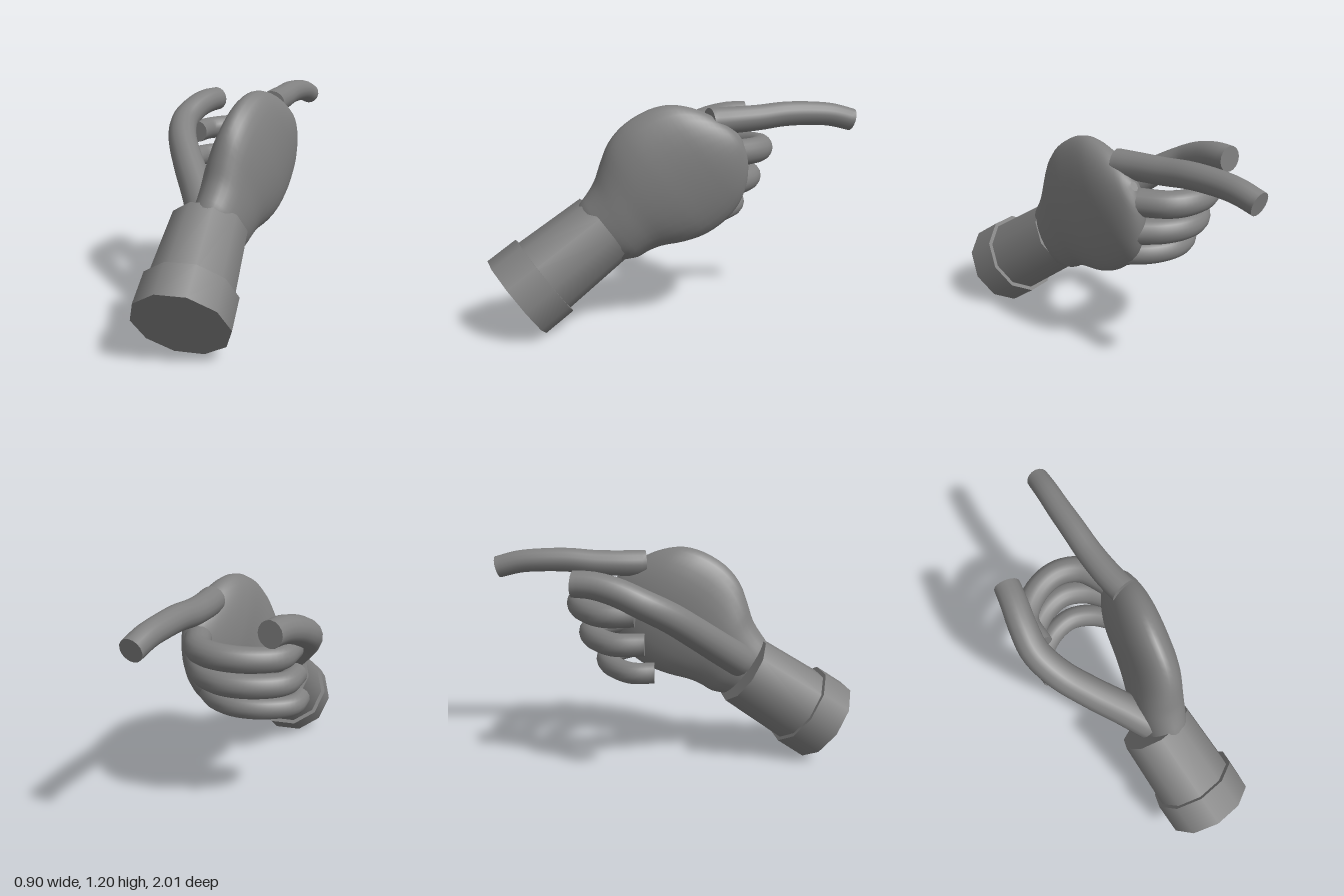
import * as THREE from 'three';

const V = (x, y, z) => new THREE.Vector3(x, y, z);

// Skin a list of rings (each turning right-handed about the direction of travel), with flat caps
function loft(rings) {
  const n = rings[0].length, pos = [], idx = [];
  rings.forEach(r => r.forEach(p => pos.push(p.x, p.y, p.z)));
  for (let i = 0; i < rings.length - 1; i++) {
    for (let j = 0; j < n; j++) {
      const k = (j + 1) % n;
      const a = i * n + j, b = i * n + k, c = a + n, d = b + n;
      idx.push(a, b, c, b, d, c);
    }
  }
  const cap = (ring, flip) => {
    const base = pos.length / 3;
    const mid = ring.reduce((s, p) => s.add(p), V(0, 0, 0)).divideScalar(n);
    [mid, ...ring].forEach(p => pos.push(p.x, p.y, p.z));
    for (let j = 0; j < n; j++) {
      const a = base + 1 + j, b = base + 1 + (j + 1) % n;
      if (flip) idx.push(base, b, a); else idx.push(base, a, b);
    }
  };
  cap(rings[0], true);
  cap(rings[rings.length - 1], false);
  const g = new THREE.BufferGeometry();
  g.setAttribute('position', new THREE.Float32BufferAttribute(pos, 3));
  g.setIndex(idx);
  g.computeVertexNormals();
  return g;
}

// One closed loop spanned by two half-axes
function loop(center, u, ru, v, rv, n) {
  return Array.from({ length: n }, (_, j) => {
    const a = j / n * Math.PI * 2;
    return center.clone().addScaledVector(u, Math.cos(a) * ru).addScaledVector(v, Math.sin(a) * rv);
  });
}

// Tapered round finger along a smooth path
function finger(points, r0, r1) {
  const curve = new THREE.CatmullRomCurve3(points.map(p => V(...p)));
  const steps = 32, f = curve.computeFrenetFrames(steps);
  const rings = [];
  for (let i = 0; i <= steps; i++) {
    const r = r0 + (r1 - r0) * i / steps;
    rings.push(loop(curve.getPointAt(i / steps), f.normals[i], r, f.binormals[i], r, 16));
  }
  return loft(rings);
}

// Flattened palm: sections [distance from wrist, upper reach, lower reach, x centre, half thickness]
function palm() {
  const sections = [
    [-0.05, 0.18, -0.18, 0.13, 0.11],
    [0, 0.2, -0.2, 0.14, 0.125],
    [0.06, 0.22, -0.228, 0.143, 0.133],
    [0.125, 0.249, -0.235, 0.146, 0.138],
    [0.2, 0.302, -0.255, 0.15, 0.14],
    [0.31, 0.37, -0.307, 0.163, 0.138],
    [0.43, 0.398, -0.344, 0.17, 0.135],
    [0.57, 0.385, -0.346, 0.17, 0.132],
    [0.67, 0.345, -0.315, 0.175, 0.122],
    [0.74, 0.285, -0.27, 0.18, 0.108],
    [0.8, 0.205, -0.21, 0.185, 0.088],
    [0.85, 0.1, -0.13, 0.19, 0.06],
    [0.88, 0.01, -0.04, 0.19, 0.02],
  ];
  const reach = new THREE.CatmullRomCurve3(sections.map(s => V(s[0], s[1], s[2])));
  const width = new THREE.CatmullRomCurve3(sections.map(s => V(s[3], s[4], 0)));
  const along = V(0, 0.587, -0.81), up = V(0, 0.81, 0.587), side = V(1, 0, 0);
  const rings = [];
  for (let i = 0; i <= 36; i++) {
    const a = reach.getPoint(i / 36), w = width.getPoint(i / 36);
    const c = V(w.x, 0.535, 0.385).addScaledVector(along, a.x).addScaledVector(up, (a.y + a.z) / 2);
    rings.push(loop(c, up, (a.y - a.z) / 2, side, w.y, 32));
  }
  return loft(rings);
}

export function createModel() {
  const group = new THREE.Group();
  group.name = 'hand';
  const grey = new THREE.MeshStandardMaterial({ color: 0x808080 });
  grey.name = 'grey';
  const add = (name, geometry) => {
    const m = new THREE.Mesh(geometry, grey);
    m.name = name;
    group.add(m);
    return m;
  };

  // Ten-sided cuff and wrist on the forearm axis
  const start = V(0.213, 0.2, 0.855), end = V(0.09, 0.533, 0.385);
  const axis = end.clone().sub(start), length = axis.length();
  axis.normalize();
  const side = V(-axis.z, 0, axis.x).normalize();
  const basis = new THREE.Matrix4().makeBasis(side, axis, side.clone().cross(axis));
  const sleeve = (name, from, to, r0, r1) => {
    const g = new THREE.CylinderGeometry(r1, r0, to - from, 10, 1, false, Math.PI / 2);
    const m = add(name, g);
    m.quaternion.setFromRotationMatrix(basis);
    m.position.copy(start).addScaledVector(axis, (from + to) / 2);
  };
  sleeve('cuff', 0, 0.185, 0.248, 0.246);
  sleeve('wrist', 0.15, length, 0.224, 0.206);

  add('palm', palm());

  // Pointing finger and thumb
  add('indexFinger', finger([
    [0.165, 1.115, -0.18], [0.13, 1.118, -0.3], [0.1, 1.125, -0.45], [0.08, 1.14, -0.6],
    [0.062, 1.14, -0.75], [0.053, 1.13, -0.87], [0.045, 1.1, -0.99],
  ], 0.074, 0.06));
  add('thumb', finger([
    [0.06, 0.59, 0.37], [-0.05, 0.69, 0.26], [-0.185, 0.81, 0.135], [-0.3, 0.92, 0.01],
    [-0.365, 1.0, -0.12], [-0.37, 1.06, -0.25], [-0.36, 1.09, -0.37], [-0.355, 1.095, -0.475],
  ], 0.093, 0.069));

  // Three curled fingers: [name, height, base z, knuckle z, tip z, radius, height drop]
  [
    ['middleFinger', 0.945, -0.29, -0.502, -0.17, 0.073, 0.015],
    ['ringFinger', 0.785, -0.3, -0.444, -0.12, 0.07, 0.01],
    ['littleFinger', 0.635, -0.22, -0.358, -0.07, 0.064, 0.01],
  ].forEach(([name, y, z0, zk, z1, r, drop]) => {
    add(name, finger([
      [0.18, y, z0], [0.05, y, zk + 0.035], [-0.08, y, zk], [-0.22, y - drop / 2, zk + 0.05],
      [-0.325, y - drop, zk + 0.17], [-0.313, y - drop, z1],
    ], r, r * 0.85));
  });
  return group;
}
